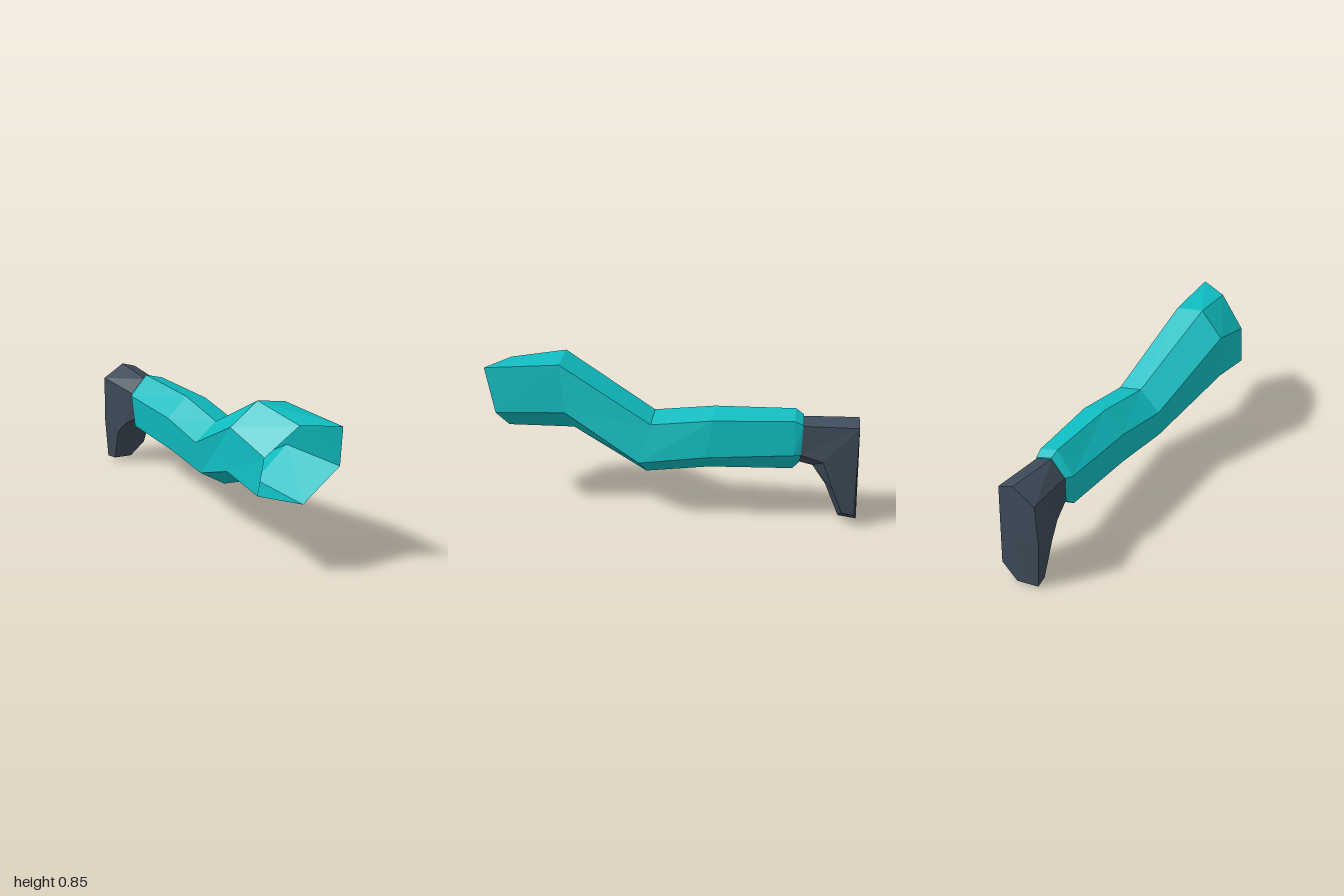
import * as THREE from 'three';

// Joins six-sided cross-sections into a faceted skin, with optional end caps.
function loft(rings, capStart, capEnd) {
  const pos = [];
  const tri = (a, b, c) => pos.push(...a, ...b, ...c);
  for (let i = 0; i < rings.length - 1; i++) {
    const p = rings[i], q = rings[i + 1];
    for (let j = 0; j < 6; j++) {
      const k = (j + 1) % 6;
      tri(p[j], p[k], q[j]);
      tri(p[k], q[k], q[j]);
    }
  }
  const first = rings[0], last = rings[rings.length - 1];
  for (let j = 1; j < 5; j++) {
    if (capStart) tri(first[0], first[j + 1], first[j]);
    if (capEnd) tri(last[0], last[j], last[j + 1]);
  }
  const g = new THREE.BufferGeometry();
  g.setAttribute('position', new THREE.Float32BufferAttribute(pos, 3));
  g.computeVertexNormals();
  return g;
}

export function createModel() {
  const group = new THREE.Group();
  group.name = 'leg';
  const teal = new THREE.MeshStandardMaterial({ color: 0x0fbcc0, flatShading: true, side: THREE.DoubleSide });
  teal.name = 'teal';
  const slate = new THREE.MeshStandardMaterial({ color: 0x3c4a58, flatShading: true });
  slate.name = 'slate';

  // Each ring: top, top outer, outer, bottom, inner bottom, inner
  const limbRings = [
    // open hip end
    [[-0.16, 0.807, 0.87], [0, 0.8, 1], [0.055, 0.565, 0.945], [-0.155, 0.41, 0.905], [-0.33, 0.46, 0.77], [-0.31, 0.66, 0.79]],
    // thigh bend
    [[-0.145, 0.85, 0.57], [0.015, 0.818, 0.6], [0.065, 0.565, 0.575], [-0.115, 0.41, 0.54], [-0.29, 0.495, 0.51], [-0.28, 0.73, 0.52]],
    // knee
    [[0.02, 0.565, 0.09], [0.155, 0.53, 0.115], [0.19, 0.323, 0.18], [0.04, 0.21, 0.14], [-0.09, 0.295, 0.09], [-0.1, 0.465, 0.06]],
    // calf
    [[0.085, 0.61, -0.23], [0.215, 0.575, -0.21], [0.24, 0.375, -0.17], [0.11, 0.265, -0.2], [-0.02, 0.31, -0.23], [-0.03, 0.5, -0.25]],
    // lower shin
    [[0.145, 0.617, -0.655], [0.25, 0.583, -0.64], [0.275, 0.4, -0.635], [0.17, 0.28, -0.645], [0.06, 0.315, -0.665], [0.05, 0.5, -0.68]],
    // tapered cuff
    [[0.16, 0.59, -0.695], [0.25, 0.562, -0.685], [0.265, 0.4, -0.675], [0.178, 0.32, -0.68], [0.085, 0.345, -0.7], [0.08, 0.5, -0.712]],
  ];

  const footRings = [
    // ankle
    [[0.16, 0.58, -0.68], [0.245, 0.555, -0.67], [0.26, 0.397, -0.67], [0.18, 0.325, -0.675], [0.09, 0.345, -0.69], [0.078, 0.5, -0.7]],
    // heel bend
    [[0.22, 0.595, -0.98], [0.305, 0.565, -0.97], [0.295, 0.368, -0.79], [0.19, 0.308, -0.75], [0.09, 0.29, -0.79], [0.095, 0.525, -1]],
    // instep
    [[0.22, 0.3, -0.992], [0.316, 0.3, -0.967], [0.31, 0.22, -0.845], [0.19, 0.195, -0.825], [0.085, 0.215, -0.865], [0.086, 0.28, -1]],
    // toe
    [[0.225, 0.002, -0.997], [0.325, 0.07, -0.965], [0.312, 0.08, -0.9], [0.205, 0.013, -0.9], [0.103, 0.016, -0.93], [0.103, 0.01, -1]],
  ];

  const limb = new THREE.Mesh(loft(limbRings, false, true), teal);
  limb.name = 'thighAndShin';
  const foot = new THREE.Mesh(loft(footRings, true, true), slate);
  foot.name = 'foot';
  group.add(limb, foot);
  return group;
}
